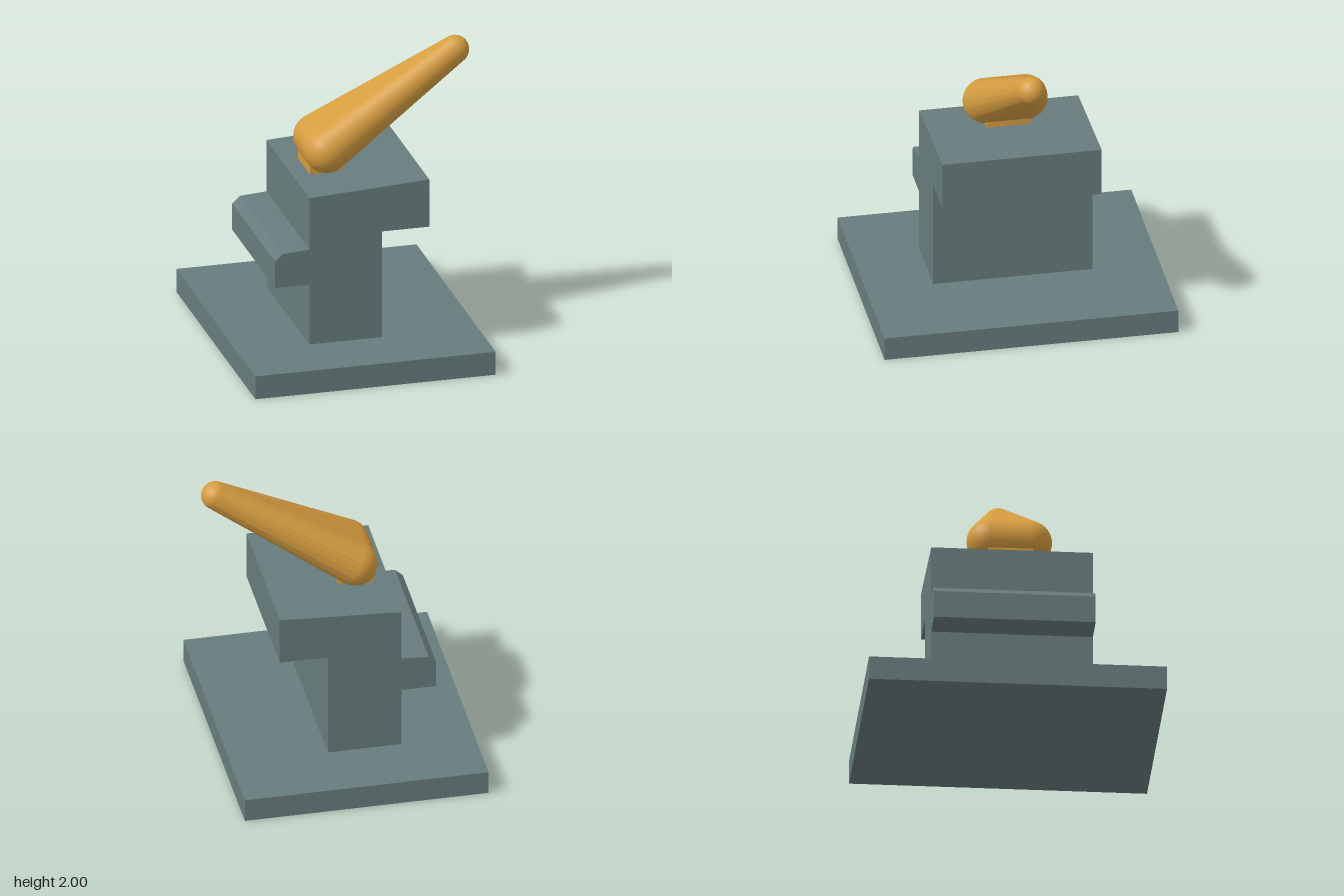
import * as THREE from 'three';
import { ConvexGeometry } from 'three/addons/geometries/ConvexGeometry.js';

const slate = new THREE.MeshStandardMaterial({ name: 'slate grey', color: 0x687c7d });
const amber = new THREE.MeshStandardMaterial({ name: 'amber', color: 0xd69d40 });

// Smooth convex skin stretched over a few balls [x, y, z, radius]
function ballHull(balls) {
  const points = [];
  for (const [x, y, z, r] of balls) {
    const pos = new THREE.SphereGeometry(r, 40, 28).getAttribute('position');
    for (let i = 0; i < pos.count; i++) {
      points.push(new THREE.Vector3().fromBufferAttribute(pos, i).add(new THREE.Vector3(x, y, z)));
    }
  }
  const geo = new ConvexGeometry(points);
  const pos = geo.getAttribute('position');
  const normal = geo.getAttribute('normal');
  const p = new THREE.Vector3();
  // Each corner takes the normal of the ball it lies on
  for (let i = 0; i < pos.count; i++) {
    p.fromBufferAttribute(pos, i);
    let best = Infinity;
    for (const [x, y, z, r] of balls) {
      const d = p.clone().sub(new THREE.Vector3(x, y, z));
      const gap = Math.abs(d.length() - r);
      if (gap < best) {
        best = gap;
        d.normalize();
        normal.setXYZ(i, d.x, d.y, d.z);
      }
    }
  }
  return geo;
}

export function createModel() {
  const model = new THREE.Group();
  model.name = 'leverSwitch';
  const add = (name, geometry, material, x = 0, y = 0, z = 0) => {
    const mesh = new THREE.Mesh(geometry, material);
    mesh.name = name;
    mesh.position.set(x, y, z);
    model.add(mesh);
  };

  // Base plate
  add('basePlate', new THREE.BoxGeometry(1.62, 0.16, 1.945), slate, -0.045, 0.08, 0);

  // Stepped body: side profile extruded across the depth
  const profile = [
    [-0.37, 0.16], [0.12, 0.16], [0.12, 0.9], [0.44, 0.9], [0.44, 1.23], [-0.37, 1.185],
    [-0.37, 0.825], [-0.55, 0.812], [-0.6, 0.765], [-0.6, 0.58], [-0.37, 0.58],
  ].map(([x, y]) => new THREE.Vector2(x, y));
  add('body', new THREE.ExtrudeGeometry(new THREE.Shape(profile), { depth: 1.055, bevelEnabled: false }),
    slate, 0, 0, -0.5275);

  // Neck joining lever and body
  add('neck', new THREE.BoxGeometry(0.23, 0.15, 0.29), amber, -0.145, 1.225, 0);

  // Tapered lever: two large balls at the pivot, one small ball at the tip
  add('lever', ballHull([
    [-0.145, 1.343, 0.132, 0.147],
    [-0.145, 1.343, -0.132, 0.147],
    [0.757, 1.907, 0, 0.093],
  ]), amber);

  return model;
}
